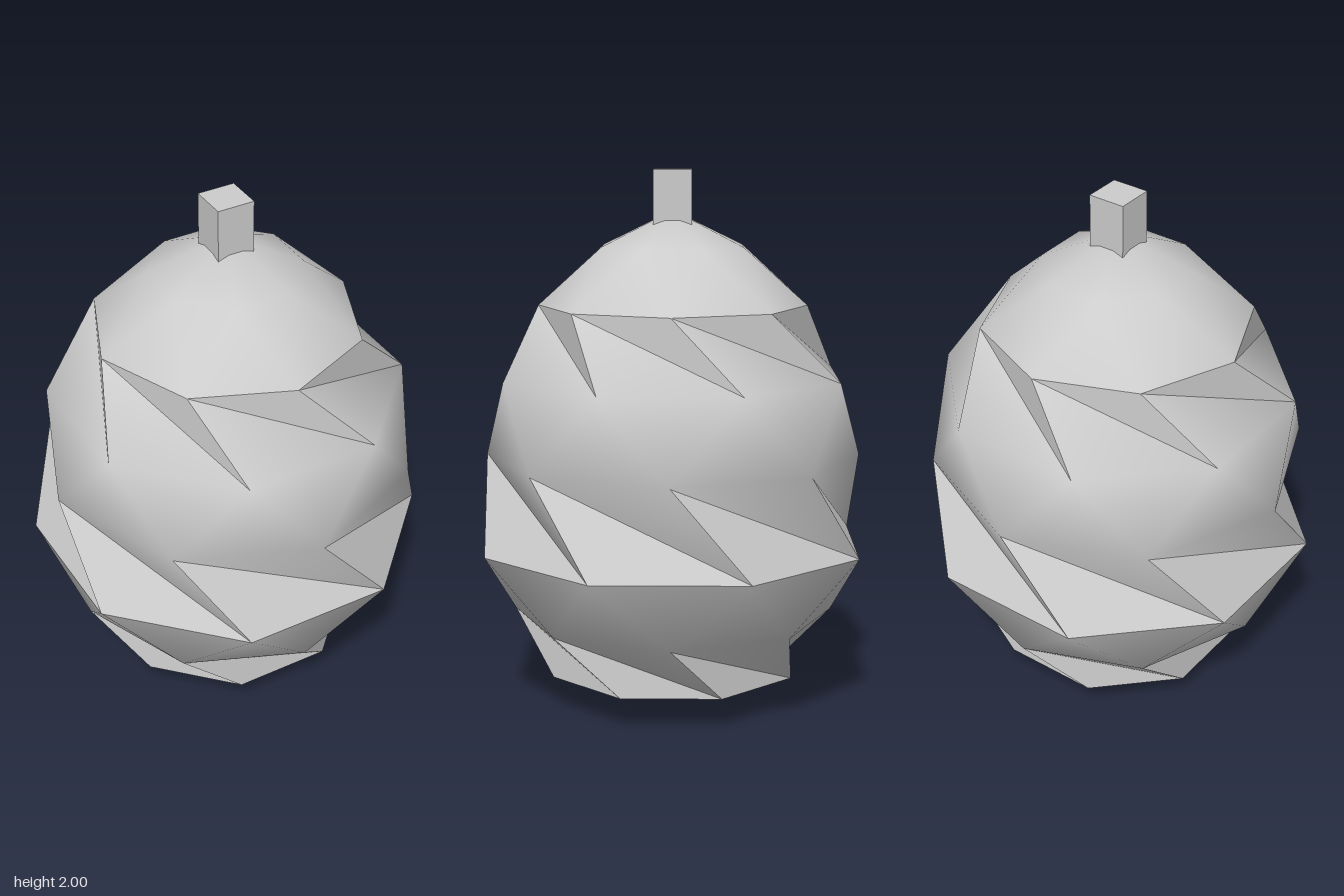
import * as THREE from 'three';
import { mergeVertices } from 'three/addons/utils/BufferGeometryUtils.js';

const SIDES = 8;

// Ring of points; odd rings are turned by half a step
function ring(radius, y, turned) {
  return Array.from({ length: SIDES }, (_, i) => {
    const a = ((i + (turned ? 0.5 : 0)) / SIDES) * Math.PI * 2;
    return new THREE.Vector3(radius * Math.sin(a), y, radius * Math.cos(a));
  });
}

// Triangles hanging from the edges of the upper ring
const hanging = (top, low) => top.map((p, i) => {
  const j = (i + 1) % SIDES;
  return [p, low[j], top[j]];
});

// Triangles standing on the edges of the lower ring
const standing = (top, low) => top.map((p, i) => [p, low[i], low[(i + 1) % SIDES]]);

const band = (top, low) => [...hanging(top, low), ...standing(top, low)];

function surface(triangles, smooth) {
  let geometry = new THREE.BufferGeometry().setFromPoints(triangles.flat());
  if (smooth) geometry = mergeVertices(geometry, 1e-5);
  geometry.computeVertexNormals();
  return geometry;
}

export function createModel() {
  const model = new THREE.Group();
  model.name = 'facetedOrnament';
  const grey = new THREE.MeshStandardMaterial({ color: 0xcccccc });
  grey.name = 'grey';

  function add(name, geometry) {
    const mesh = new THREE.Mesh(geometry, grey);
    mesh.name = name;
    model.add(mesh);
    return mesh;
  }

  // Rings from the crown down to the base
  const crown = ring(0.28, 1.72, true);
  const shoulder = ring(0.5, 1.5, false);
  const chest = ring(0.66, 1.24, true);
  const waist = ring(0.7, 0.94, false);
  const belly = ring(0.74, 0.6, true);
  const hip = ring(0.6, 0.34, false);
  const foot = ring(0.48, 0.12, true);
  const apex = new THREE.Vector3(0, 1.85, 0);
  const tip = new THREE.Vector3(0, 0, 0);
  const next = (r, i) => r[(i + 1) % SIDES];

  // Rounded cap
  add('cap', surface([
    ...crown.map((p, i) => [apex, p, next(crown, i)]),
    ...band(crown, shoulder),
  ], true));

  // Smooth upper and lower body, with pointed tongues
  add('upperBody', surface([
    ...standing(shoulder, chest),
    ...band(chest, waist),
    ...hanging(waist, belly),
  ], true));
  add('lowerBody', surface([
    ...band(belly, hip),
    ...hanging(hip, foot),
  ], true));

  // Flat twisted teeth between the tongues
  add('shoulderTeeth', surface(hanging(shoulder, chest), false));
  add('bellyTeeth', surface(standing(waist, belly), false));
  add('footTeeth', surface(standing(hip, foot), false));

  // Shallow pointed base
  add('base', surface(foot.map((p, i) => [p, tip, next(foot, i)]), true));

  // Square stem set on its corner
  const side = 0.1 * Math.SQRT2;
  const stem = add('stem', new THREE.BoxGeometry(side, 0.25, side));
  stem.position.y = 1.875;
  stem.rotation.y = Math.PI / 4;

  return model;
}
